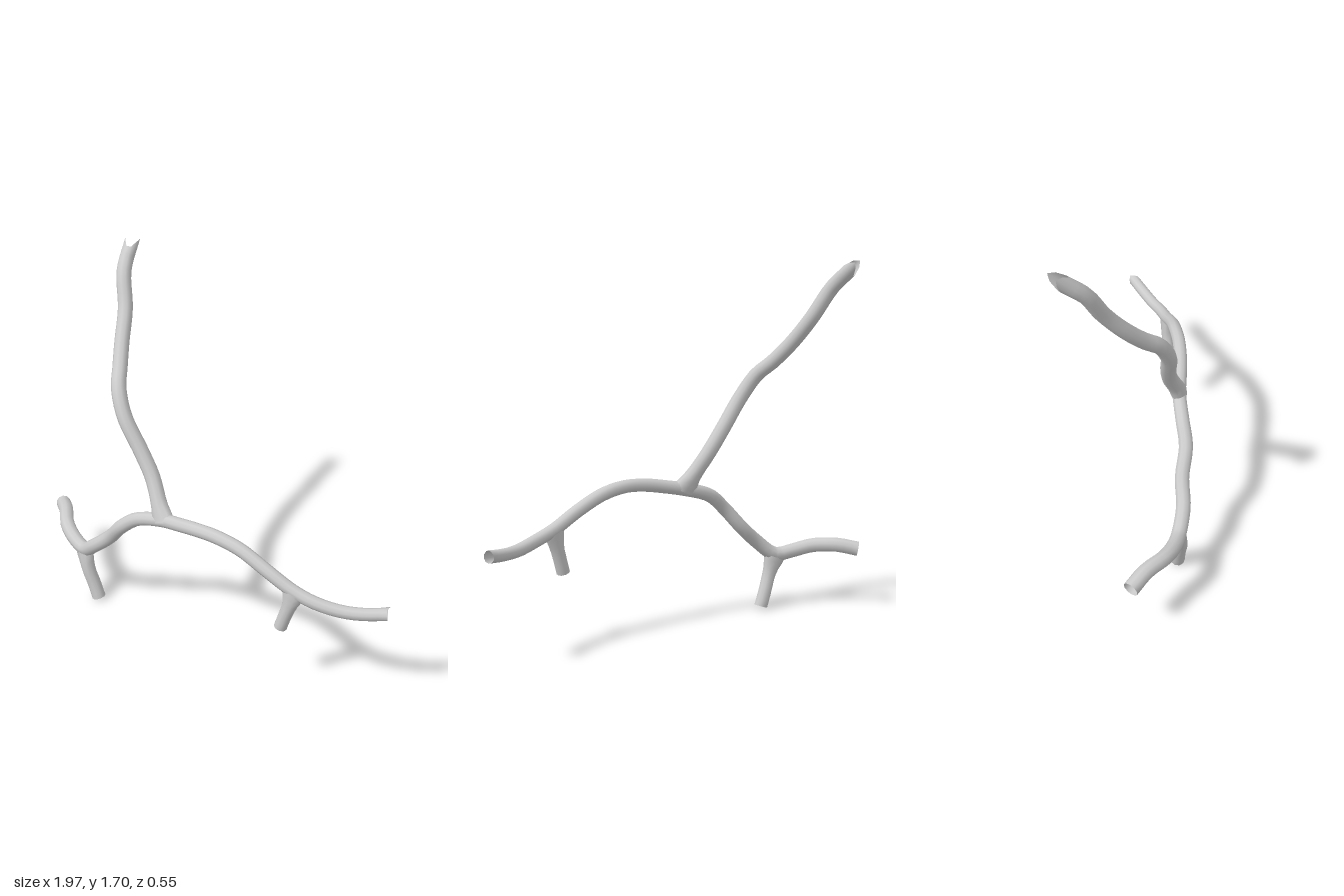
import * as THREE from 'three';
import { mergeVertices } from 'three/addons/utils/BufferGeometryUtils.js';

const SIDES = 10;
const V = (p) => new THREE.Vector3(...p);

// Open tube along points; radius runs from r0 to r1.
// flareDir: widens the root along the parent limb. tear(dir): shift of the last ring's vertices.
function limb(name, points, r0, r1, material, { flareDir, tear } = {}) {
  const curve = new THREE.CatmullRomCurve3(points.map(V), false, 'centripetal');
  const length = curve.getLength();
  const rings = Math.max(6, Math.round(length / 0.035));
  const geo = new THREE.TubeGeometry(curve, rings, 1, SIDES, false);
  const pos = geo.attributes.position;
  const v = new THREE.Vector3();
  for (let i = 0; i <= rings; i++) {
    const t = i / rings;
    const centre = curve.getPointAt(t);
    for (let j = 0; j <= SIDES; j++) {
      const k = i * (SIDES + 1) + j;
      const dir = v.fromBufferAttribute(pos, k).sub(centre).clone();
      v.multiplyScalar(r0 + (r1 - r0) * t);
      if (flareDir) {
        const amount = 0.8 * Math.exp(-Math.pow(t * length / 0.06, 2));
        v.addScaledVector(flareDir, v.dot(flareDir) * amount);
      }
      v.add(centre);
      if (tear && i === rings) v.add(tear(dir));
      pos.setXYZ(k, v.x, v.y, v.z);
    }
  }
  // weld the seam so the shading is smooth all round
  geo.deleteAttribute('uv');
  geo.deleteAttribute('normal');
  const welded = mergeVertices(geo, 1e-5);
  welded.computeVertexNormals();
  const mesh = new THREE.Mesh(welded, material);
  mesh.name = name;
  return mesh;
}

export function createModel() {
  const group = new THREE.Group();
  group.name = 'branchingTubes';
  const material = new THREE.MeshStandardMaterial({ color: 0xcccccc, side: THREE.DoubleSide });

  // Long bent limb running across the whole width, ending in a pulled-out splinter
  const spikeDir = V([0.1, 0.75, -0.65]).normalize();
  group.add(limb('mainLimb', [
    [-0.99, 0.29, 0.06], [-0.9, 0.308, 0.115], [-0.805, 0.3, 0.187], [-0.715, 0.277, 0.22],
    [-0.62, 0.265, 0.235], [-0.525, 0.335, 0.245], [-0.43, 0.42, 0.23], [-0.335, 0.525, 0.238],
    [-0.25, 0.595, 0.215], [-0.11, 0.64, 0.188], [0, 0.663, 0.183], [0.1, 0.68, 0.176],
    [0.21, 0.685, 0.16], [0.33, 0.663, 0.134], [0.46, 0.605, 0.107], [0.585, 0.54, 0.07],
    [0.68, 0.508, 0.035], [0.78, 0.487, -0.02], [0.86, 0.487, -0.07], [0.945, 0.5, -0.13],
  ], 0.036, 0.028, material, {
    tear: (d) => V([0.045, 0.022, -0.05]).multiplyScalar(Math.pow(Math.max(0, d.dot(spikeDir)), 8)),
  }));

  // Tall limb rising backwards, torn into two points at its tip
  const hornDir = V([0.82, -0.2, -0.55]).normalize();
  group.add(limb('tallLimb', [
    [-0.1, 0.635, 0.188], [-0.14, 0.7, 0.175], [-0.21, 0.81, 0.15], [-0.285, 0.92, 0.15],
    [-0.38, 1.06, 0.157], [-0.45, 1.17, 0.125], [-0.5, 1.23, 0.07], [-0.56, 1.32, 0],
    [-0.62, 1.44, -0.08], [-0.69, 1.58, -0.14], [-0.732, 1.655, -0.21],
  ], 0.036, 0.034, material, {
    flareDir: V([0.96, 0.26, -0.1]).normalize(),
    tear: (d) => V([-0.018, 0.045, -0.045]).multiplyScalar(Math.pow(d.dot(hornDir), 2)),
  }));

  // Short stubs hanging below each arm
  group.add(limb('rightStub', [
    [-0.622, 0.262, 0.235], [-0.59, 0.16, 0.24], [-0.565, 0.085, 0.231], [-0.54, 0.012, 0.226],
  ], 0.032, 0.033, material, { flareDir: V([0.9, 0.4, 0]).normalize() }));
  group.add(limb('leftStub', [
    [0.588, 0.538, 0.07], [0.572, 0.46, 0.077], [0.554, 0.395, 0.085], [0.538, 0.335, 0.092],
  ], 0.03, 0.03, material, { flareDir: V([0.88, -0.38, -0.28]).normalize() }));

  return group;
}
